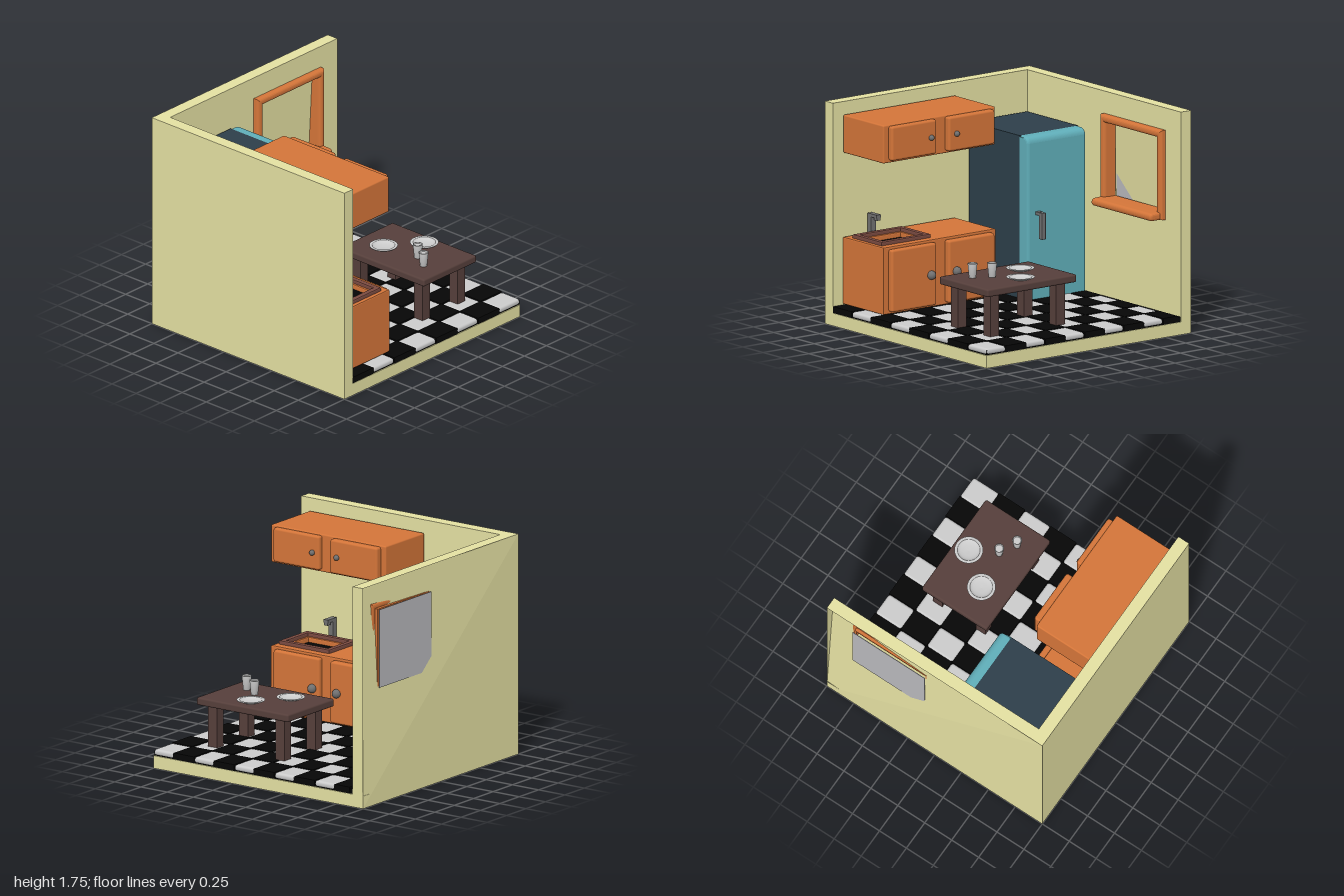
import * as THREE from 'three';
import { RoundedBoxGeometry } from 'three/addons/geometries/RoundedBoxGeometry.js';

const mat = (color, side = THREE.FrontSide) => new THREE.MeshStandardMaterial({ color, side });
const M = {
  wall: mat(0xe4e0a2, THREE.DoubleSide), orange: mat(0xd47539), teal: mat(0x60aeb9), body: mat(0x2d3f4a),
  metal: mat(0x707070), wood: mat(0x563f3b), rim: mat(0x7a4a40), black: mat(0x060606),
  tile: mat(0xc8c8c8), glass: mat(0xb8b8bc), china: mat(0xcccccc, THREE.DoubleSide),
};

export function createModel() {
  const root = new THREE.Group();
  const add = (name, geo, material, parent = root) => {
    const m = new THREE.Mesh(geo, material);
    m.name = name;
    parent.add(m);
    return m;
  };
  const group = (name) => {
    const g = new THREE.Group();
    g.name = name;
    root.add(g);
    return g;
  };
  // Box from its min and max corners, optionally with rounded edges
  const box = (name, [x0, y0, z0], [x1, y1, z1], material, r = 0, parent = root) => {
    const s = [x1 - x0, y1 - y0, z1 - z0];
    const geo = r ? new RoundedBoxGeometry(...s, 2, r) : new THREE.BoxGeometry(...s);
    const m = add(name, geo, material, parent);
    m.position.set((x0 + x1) / 2, (y0 + y1) / 2, (z0 + z1) / 2);
    return m;
  };
  const plane = (name, w, h, position, rotation, parent) => {
    const m = add(name, new THREE.PlaneGeometry(w, h), M.wall, parent);
    m.position.set(...position);
    m.rotation.set(...rotation);
  };
  const rectPoints = (x0, y0, x1, y1) =>
    [[x0, y0], [x1, y0], [x1, y1], [x0, y1]].map((p) => new THREE.Vector2(...p));
  const rectShape = (outer, inner) => {
    const s = new THREE.Shape(rectPoints(...outer));
    if (inner) s.holes.push(new THREE.Path(rectPoints(...inner).reverse()));
    return s;
  };

  // Floor: a thin deck with skirts, hollow underneath
  const floor = group('floor');
  const quarter = Math.PI / 2;
  plane('deck', 2, 2, [0, 0.1, 0], [-quarter, 0, 0], floor);
  plane('frontSkirt', 2, 0.1, [0, 0.05, 1], [0, 0, 0], floor);
  plane('leftSkirt', 2, 0.1, [-1, 0.05, 0], [0, -quarter, 0], floor);
  plane('rightSkirt', 2, 0.1, [1, 0.05, 0], [0, quarter, 0], floor);
  box('leftWall', [-1, 0.1, -0.9], [-0.9, 1.75, 1], M.wall);

  // Back wall: inner face with window opening, skewed outer face, top and end caps
  const back = group('backWall');
  add('innerFace', new THREE.ShapeGeometry(rectShape([-1, 0.1, 1, 1.75], [0.08, 0.9, 0.78, 1.54])), M.wall, back)
    .position.z = -0.9;
  const outer = new THREE.BufferGeometry();
  outer.setAttribute('position', new THREE.Float32BufferAttribute([
    -1, 0, -1, -1, 1.75, -1, 1, 0, -1,
    1, 0, -1, -1, 1.75, -1, 1, 1.75, -0.91,
  ], 3));
  outer.computeVertexNormals();
  add('outerFace', outer, M.wall, back);
  plane('topCap', 2, 0.1, [0, 1.75, -0.95], [-quarter, 0, 0], back);
  for (const s of [-1, 1]) plane('endCap', 0.1, 1.65, [s, 0.925, -0.95], [0, s * quarter, 0], back);

  // Checkered floor tiles
  const tiles = group('floorTiles');
  box('grout', [-0.9, 0.102, -0.9], [0.995, 0.14, 0.995], M.black, 0, tiles);
  const tw = 0.2385, td = 0.192;
  for (let i = 0; i < 8; i++) {
    for (let j = 0; j < 10; j++) {
      const dark = (i + j) % 2 === 0;
      const x = 1 - (8 - i) * tw, z = 1 - j * td;
      box('tile', [x, 0.102, Math.max(z - td, -0.87)], [x + tw, 0.152, z],
        dark ? M.black : M.tile, dark ? 0 : 0.022, tiles);
    }
  }

  // Window: rounded frame, lining through the wall, flared sill and pane
  const win = group('window');
  const frame = new THREE.ExtrudeGeometry(rectShape([0.075, 0.895, 0.785, 1.55], [0.085, 0.905, 0.775, 1.54]), {
    depth: 0.04, bevelThickness: 0.025, bevelSize: 0.025, bevelSegments: 4,
  });
  add('windowFrame', frame, M.orange, win).position.z = -0.915;
  const lining = new THREE.ExtrudeGeometry(rectShape([0.1, 0.915, 0.765, 1.53], [0.11, 0.93, 0.75, 1.515]), {
    depth: 0.06, bevelEnabled: false,
  });
  add('windowLining', lining, M.orange, win).position.z = -0.965;
  const sill = new THREE.Shape();
  sill.moveTo(0.85, 0.87);
  sill.lineTo(0.785, 0.87);
  sill.quadraticCurveTo(0.76, 0.875, 0.76, 0.9);
  sill.quadraticCurveTo(0.76, 0.925, 0.785, 0.93);
  sill.lineTo(0.84, 0.932);
  sill.lineTo(0.9, 0.932);
  sill.lineTo(0.9, 0.87);
  const sillGeo = new THREE.ExtrudeGeometry(sill, {
    depth: 0.7, bevelSize: 0.02, bevelOffset: -0.02, bevelThickness: 0.02, bevelSegments: 3,
  });
  const sillMesh = add('windowSill', sillGeo, M.orange, win);
  sillMesh.rotation.y = quarter;
  sillMesh.position.x = 0.08;
  box('windowPane', [0.1, 0.91, -0.988], [0.77, 1.53, -0.984], M.glass, 0, win);

  // Cupboards: doors and round knobs shared by both
  const fronts = (parent, y0, y1, ky, kr) => {
    for (const [z0, z1, kz, x1] of [[0.42, 0.86, 0.48, -0.345], [-0.14, 0.31, 0.24, -0.335]]) {
      box('cupboardDoor', [-0.4, y0, z0], [x1, y1, z1], M.orange, 0.018, parent);
      add('knob', new THREE.SphereGeometry(kr, 16, 12), M.metal, parent).position.set(x1 + 0.008, ky, kz);
    }
  };
  const upper = group('upperCupboard');
  box('cupboardBody', [-0.89, 1.35, -0.185], [-0.39, 1.65, 0.91], M.orange, 0.012, upper);
  fronts(upper, 1.37, 1.64, 1.505, 0.022);

  // Lower cupboard with the sink cut into it; shape y runs towards -z
  const lower = group('lowerCupboard');
  const upright = (name, outerRect, innerRect, y, depth, material, bevel) => {
    const geo = new THREE.ExtrudeGeometry(rectShape(outerRect, innerRect), {
      depth, bevelSize: bevel, bevelThickness: bevel, bevelSegments: 2,
    });
    const m = add(name, geo, material, lower);
    m.rotation.x = -quarter;
    m.position.y = y;
  };
  upright('cupboardBody', [-0.88, -0.9, -0.4, 0.175], [-0.76, -0.83, -0.5, -0.45], 0.17, 0.51, M.orange, 0.01);
  upright('sinkRim', [-0.8, -0.87, -0.46, -0.41], [-0.775, -0.845, -0.485, -0.435], 0.69, 0.02, M.rim, 0.01);
  box('sinkBottom', [-0.77, 0.64, 0.44], [-0.49, 0.65, 0.84], M.black, 0, lower);
  fronts(lower, 0.18, 0.67, 0.425, 0.035);

  // Tap
  const tap = group('tap');
  box('tapPost', [-0.87, 0.69, 0.64], [-0.825, 0.85, 0.685], M.metal, 0, tap);
  box('tapSpout', [-0.825, 0.825, 0.64], [-0.76, 0.85, 0.685], M.metal, 0, tap);
  box('tapNozzle', [-0.8, 0.805, 0.645], [-0.76, 0.825, 0.68], M.metal, 0, tap);

  // Fridge
  const fridge = group('fridge');
  box('fridgeBody', [-0.87, 0.15, -0.875], [-0.24, 1.43, -0.305], M.body, 0, fridge);
  const door = new THREE.Shape();
  door.moveTo(-0.24, 0.15);
  door.lineTo(-0.14, 0.15);
  door.lineTo(-0.14, 1.38);
  door.quadraticCurveTo(-0.145, 1.425, -0.19, 1.43);
  door.lineTo(-0.24, 1.43);
  const doorGeo = new THREE.ExtrudeGeometry(door, {
    depth: 0.53, bevelSize: 0.02, bevelOffset: -0.02, bevelThickness: 0.02, bevelSegments: 3,
  });
  add('fridgeDoor', doorGeo, M.teal, fridge).position.z = -0.855;
  box('fridgeDoorBack', [-0.242, 0.15, -0.875], [-0.2, 1.42, -0.303], M.teal, 0, fridge);
  box('handleArm', [-0.15, 0.815, -0.42], [-0.1, 0.84, -0.38], M.metal, 0, fridge);
  box('handleGrip', [-0.1, 0.63, -0.42], [-0.06, 0.84, -0.38], M.metal, 0.006, fridge);

  // Table
  const table = group('table');
  box('tableTop', [0.14, 0.48, -0.09], [0.74, 0.542, 0.785], M.wood, 0.015, table);
  for (const x of [0.2, 0.6]) {
    for (const z of [-0.015, 0.63]) {
      box('tableLeg', [x, 0.15, z], [x + 0.085, 0.49, z + 0.085], M.wood, 0, table);
    }
  }

  // Dished plates and full cups
  const lathe = (points) => new THREE.LatheGeometry(points.map((p) => new THREE.Vector2(...p)), 32);
  const plate = lathe([[0, 0], [0.06, 0], [0.108, 0.018], [0.11, 0.023], [0.088, 0.023], [0.087, 0.022],
    [0.08, 0.014], [0.065, 0.008], [0.04, 0.004], [0, 0.002]]);
  for (const [x, z] of [[0.36, 0.165], [0.61, 0.36]]) add('plate', plate, M.china).position.set(x, 0.542, z);
  const cup = lathe([[0, 0], [0.027, 0], [0.038, 0.113], [0.032, 0.113], [0.03, 0.104], [0.029, 0.104], [0, 0.104]]);
  for (const [x, z] of [[0.407, 0.477], [0.33, 0.608]]) add('cup', cup, M.china).position.set(x, 0.542, z);

  return root;
}
